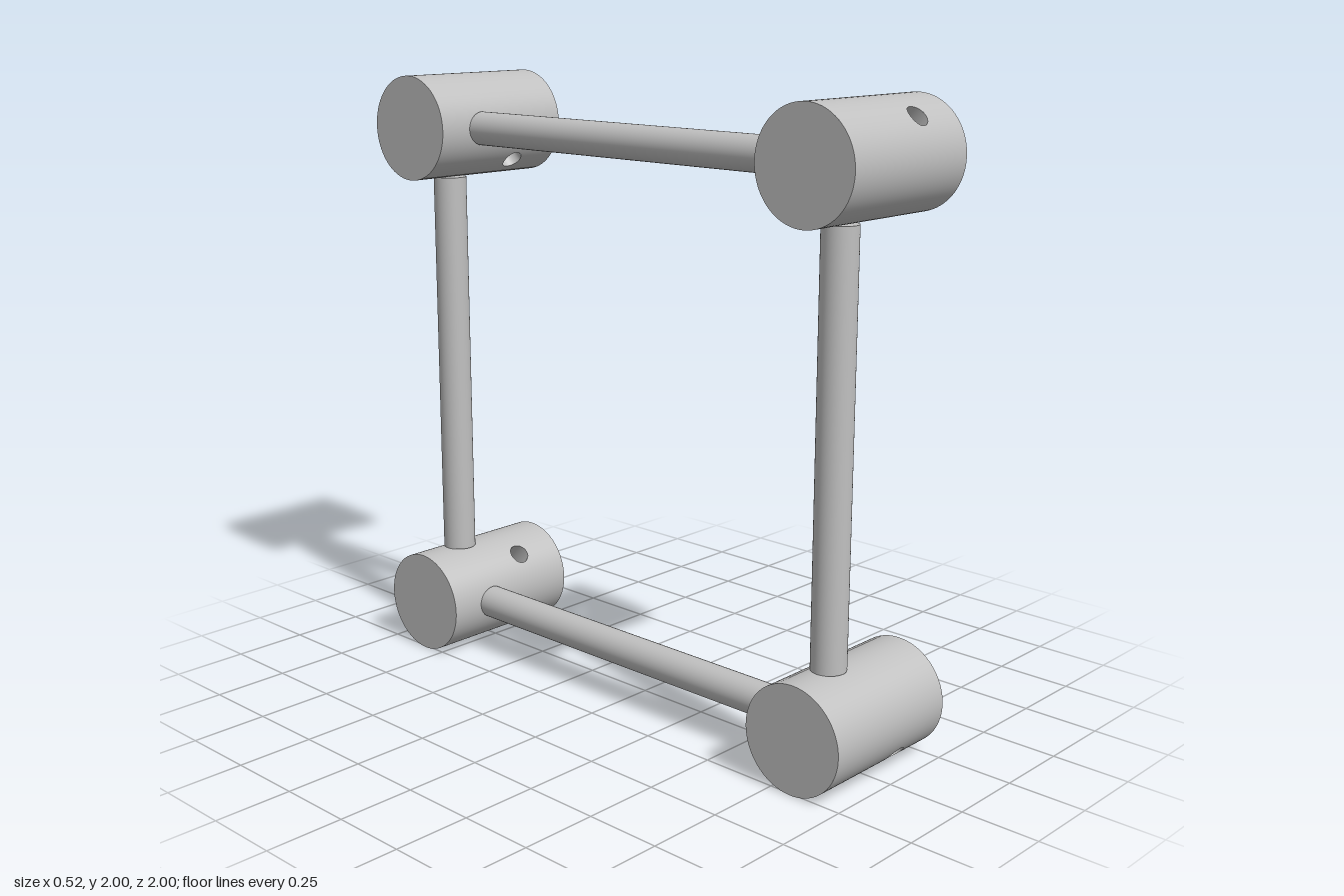
import * as THREE from 'three';
import { ParametricGeometry } from 'three/addons/geometries/ParametricGeometry.js';

const R = 0.1715, HALF = 0.259;          // hub radius and half length
const HOLE_X = 0.085, HOLE_R = 0.035;    // cross-drilled hole
const ROD_X = -0.09, ROD_R = 0.055;
const C = 1 - R;                         // hub distance from the frame centre
const T = Math.PI / 6;                   // half angle of the drilled wall patch

const steel = new THREE.MeshStandardMaterial({ color: 0xc0c0c0 });
steel.name = 'steel grey';

function mesh(name, geometry) {
  const m = new THREE.Mesh(geometry, steel);
  m.name = name;
  return m;
}

// point on the hub wall, t measured from +z towards +y
const onWall = (x, t, p) => p.set(x, R * Math.sin(t), R * Math.cos(t));

// wall patch between the round hole edge and a rectangle around it
function drilledPatch(u, v, p) {
  const a = -u * 2 * Math.PI, c = Math.cos(a), s = Math.sin(a);
  const m = Math.max(Math.abs(c), Math.abs(s));
  const x0 = HOLE_X + HOLE_R * c, t0 = Math.asin(HOLE_R * s / R);
  const x1 = HOLE_X + (c / m) * (c > 0 ? HALF - HOLE_X : HALF + HOLE_X);
  const t1 = (s / m) * T;
  onWall(x0 + (x1 - x0) * v, t0 + (t1 - t0) * v, p);
}

// plain wall between the two drilled patches
function plainWall(u, v, p) {
  onWall(-HALF + 2 * HALF * u, T + (Math.PI - 2 * T) * v, p);
}

// inside of the hole, trimmed to the hub wall at both ends
function bore(u, v, p) {
  const a = -u * 2 * Math.PI, y = HOLE_R * Math.sin(a);
  p.set(HOLE_X + HOLE_R * Math.cos(a), y, Math.sqrt(R * R - y * y) * (2 * v - 1));
}

const patchGeo = new ParametricGeometry(drilledPatch, 64, 10);
const wallGeo = new ParametricGeometry(plainWall, 1, 32);
const boreGeo = new ParametricGeometry(bore, 48, 1);
const capGeo = new THREE.CircleGeometry(R, 96);
const rodGeo = new THREE.CylinderGeometry(ROD_R, ROD_R, 2 * (C - R), 48);

function createHub() {
  const hub = new THREE.Group();
  hub.name = 'hub';
  for (const turn of [0, Math.PI]) {
    const patch = mesh('drilledWall', patchGeo);
    const wall = mesh('plainWall', wallGeo);
    patch.rotation.x = wall.rotation.x = turn;
    hub.add(patch, wall);
  }
  for (const side of [-1, 1]) {
    const cap = mesh('endFace', capGeo);
    cap.position.x = side * HALF;
    cap.rotation.y = side * Math.PI / 2;
    hub.add(cap);
  }
  hub.add(mesh('hole', boreGeo));
  return hub;
}

export function createModel() {
  const model = new THREE.Group();
  model.name = 'squareFrame';

  // corner hubs, holes pointing along the frame diagonals
  for (const sy of [-1, 1]) for (const sz of [-1, 1]) {
    const hub = createHub();
    hub.position.set(0, 1 + sy * C, sz * C);
    hub.rotation.x = -Math.atan2(sy, sz);
    model.add(hub);
  }

  // rods between the hubs
  for (const s of [-1, 1]) {
    const upright = mesh('uprightRod', rodGeo);
    upright.position.set(ROD_X, 1, s * C);
    const level = mesh('levelRod', rodGeo);
    level.position.set(ROD_X, 1 + s * C, 0);
    level.rotation.x = Math.PI / 2;
    model.add(upright, level);
  }
  return model;
}
